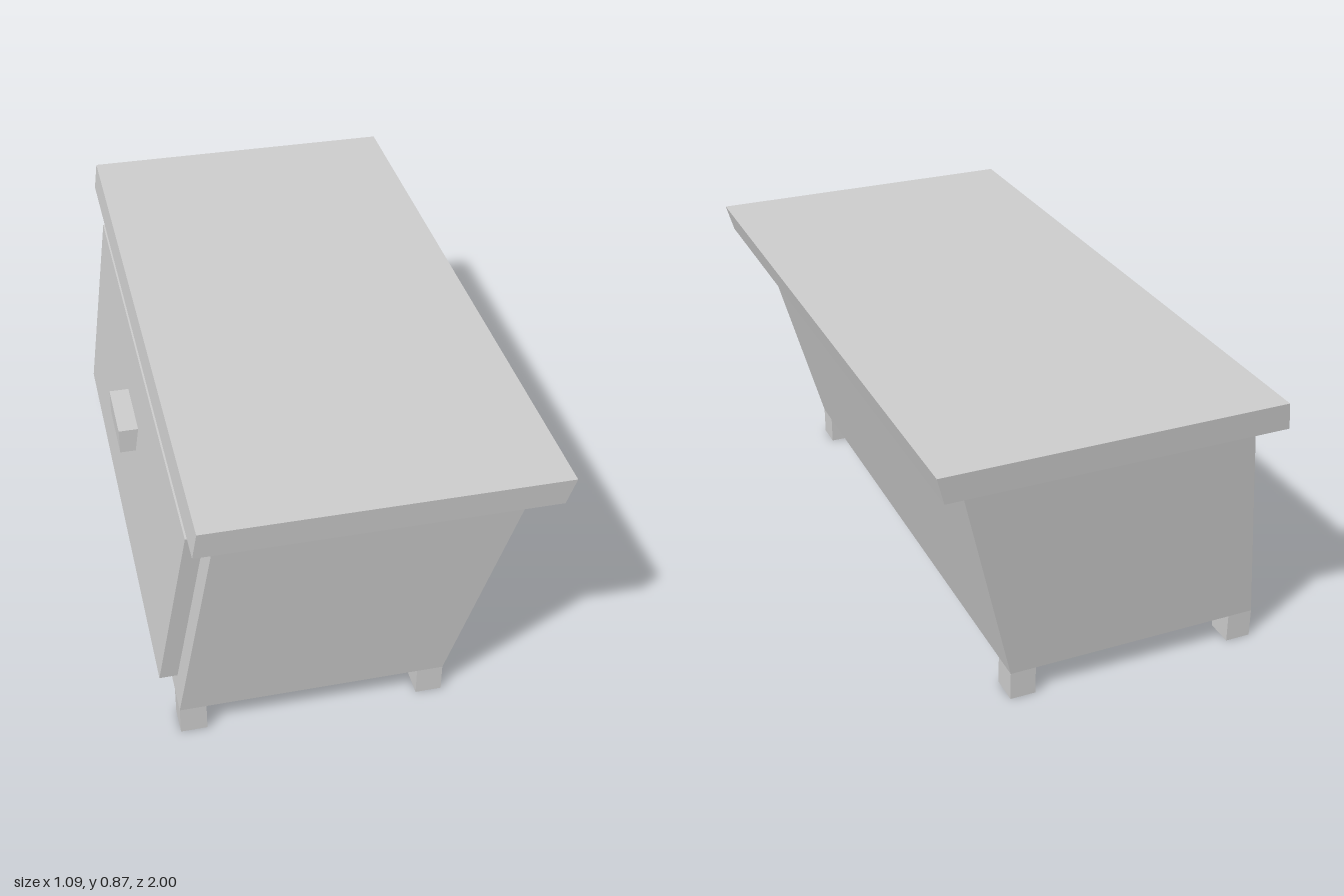
import * as THREE from 'three';

const material = new THREE.MeshStandardMaterial({ color: 0xcccccc, flatShading: true });

// Box whose bottom and top rectangles differ; each end is [y, xMin, xMax, half depth].
function taperedBox(name, bottom, top) {
  const geometry = new THREE.BoxGeometry(1, 1, 1);
  const p = geometry.attributes.position;
  for (let i = 0; i < p.count; i++) {
    const [y, x0, x1, z] = p.getY(i) > 0 ? top : bottom;
    p.setXYZ(i, p.getX(i) > 0 ? x1 : x0, y, p.getZ(i) > 0 ? z : -z);
  }
  geometry.computeVertexNormals();
  const mesh = new THREE.Mesh(geometry, material);
  mesh.name = name;
  return mesh;
}

export function createModel() {
  const model = new THREE.Group();
  model.name = 'slantedCabinet';

  // Leaning body and overhanging top
  model.add(taperedBox('body', [0.088, -0.502, 0.275, 0.848], [0.783, -0.399, 0.455, 0.933]));
  model.add(taperedBox('tabletop', [0.783, -0.466, 0.522, 0.992], [0.865, -0.454, 0.544, 1]));

  // Drawer front parallel to the sloping side, with a block handle
  model.add(taperedBox('drawerFront', [0.149, -0.545, -0.485, 0.77], [0.716, -0.461, -0.4, 0.84]));
  model.add(taperedBox('drawerHandle', [0.458, -0.547, -0.485, 0.107], [0.538, -0.547, -0.475, 0.107]));

  // Four short feet flush with the bottom corners
  const foot = new THREE.BoxGeometry(0.077, 0.088, 0.084);
  for (const x of [-0.4635, 0.2365]) {
    for (const z of [-0.806, 0.806]) {
      const mesh = new THREE.Mesh(foot, material);
      mesh.name = 'foot';
      mesh.position.set(x, 0.044, z);
      model.add(mesh);
    }
  }
  return model;
}
